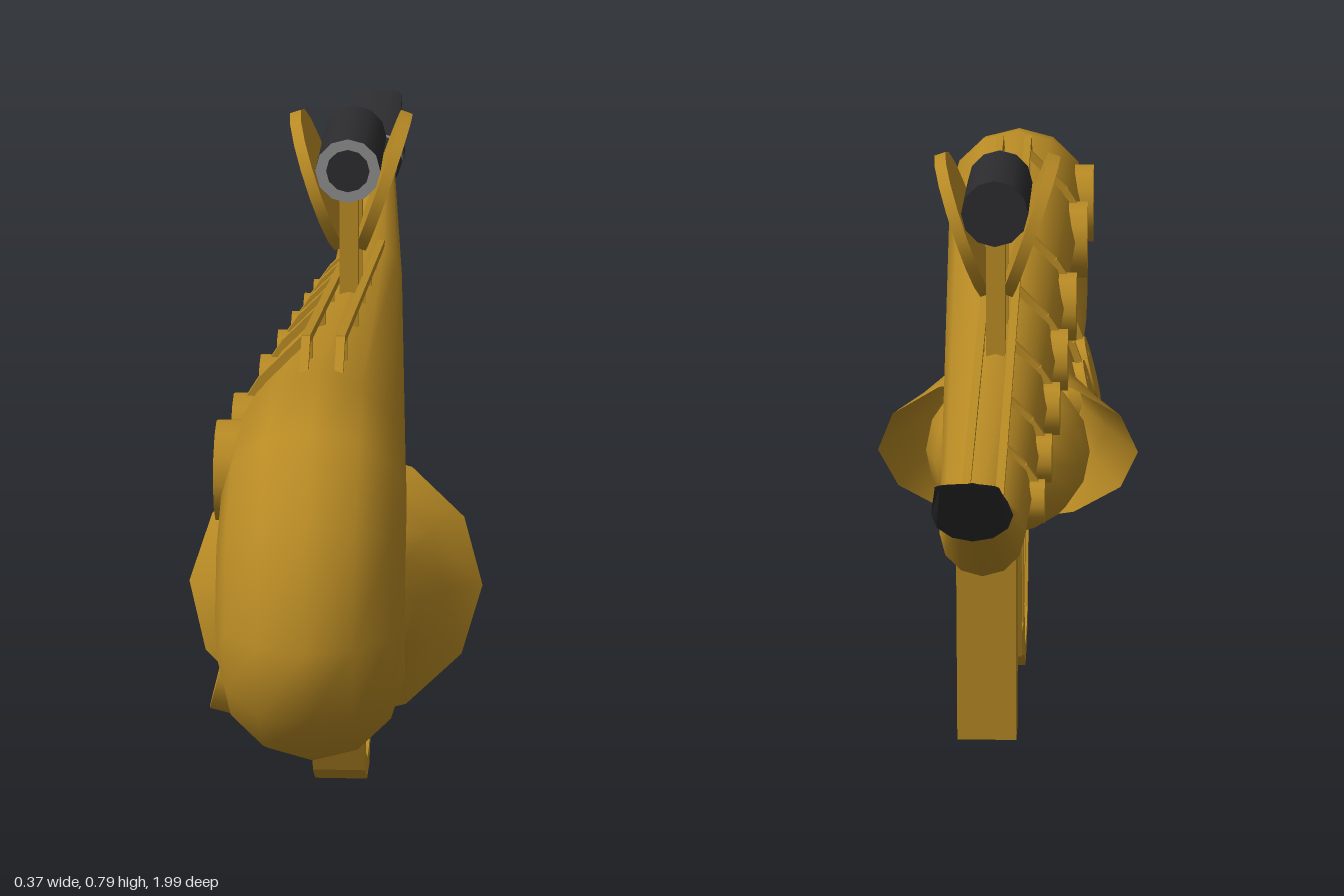
import * as THREE from 'three';
import { toCreasedNormals } from 'three/addons/utils/BufferGeometryUtils.js';

const brass = new THREE.MeshStandardMaterial({ color: 0xb88a24, side: THREE.DoubleSide });
brass.name = 'brass';
const black = new THREE.MeshStandardMaterial({ color: 0x2c2c2e, side: THREE.DoubleSide });
black.name = 'black';
const grey = new THREE.MeshStandardMaterial({ color: 0x8c8c8c, side: THREE.DoubleSide });
grey.name = 'grey';

const V = (x, y, z) => new THREE.Vector3(x, y, z);

export function createModel() {
  const model = new THREE.Group();
  model.name = 'hornBlaster';

  const add = (name, geo, mat = brass, parent = model) => {
    const mesh = new THREE.Mesh(geo, mat);
    mesh.name = name;
    parent.add(mesh);
    return mesh;
  };

  // Tube through rings, each given by its outer and inner edge: [z, y, z, y, half width]
  function loft(sections, sides = 12) {
    const pos = [], index = [];
    sections.forEach(([z0, y0, z1, y1, rx]) => {
      const dz = (z0 - z1) / 2, dy = (y0 - y1) / 2, r = rx ?? Math.hypot(dz, dy);
      for (let j = 0; j < sides; j++) {
        const a = j / sides * Math.PI * 2, c = Math.cos(a);
        pos.push(r * Math.sin(a), (y0 + y1) / 2 + dy * c, (z0 + z1) / 2 + dz * c);
      }
    });
    for (let i = 0; i < sections.length - 1; i++) {
      for (let j = 0; j < sides; j++) {
        const k = (j + 1) % sides, a = i * sides + j, b = i * sides + k;
        index.push(a, a + sides, b, b, a + sides, b + sides);
      }
    }
    const geo = new THREE.BufferGeometry();
    geo.setAttribute('position', new THREE.Float32BufferAttribute(pos, 3));
    geo.setIndex(index);
    geo.computeVertexNormals();
    return geo;
  }

  // Side outline in (z, y), extruded across x
  function slab(outline, hole, width) {
    const toPts = (list) => list.map(([z, y]) => new THREE.Vector2(z, y));
    const shape = new THREE.Shape(toPts(outline));
    if (hole) shape.holes.push(new THREE.Path(toPts(hole)));
    return new THREE.ExtrudeGeometry(shape, { depth: width, bevelEnabled: false })
      .rotateY(-Math.PI / 2).translate(width / 2, 0, 0);
  }

  // Square bar between two points
  function beam(name, p, q, w, h = w, parent = model) {
    const mesh = add(name, new THREE.BoxGeometry(w, h, p.distanceTo(q)), brass, parent);
    mesh.position.copy(p).add(q).multiplyScalar(0.5);
    mesh.lookAt(q);
    return mesh;
  }

  // Neck, body, bow and flared bell in one curved tube
  add('hornBody', loft([
    [-0.835, 0.565, -0.81, 0.51], [-0.57, 0.485, -0.58, 0.385],
    [0.71, 0.665, 0.71, 0.468], [0.85, 0.642, 0.755, 0.46, 0.103],
    [0.95, 0.57, 0.77, 0.45, 0.104], [1, 0.44, 0.777, 0.438, 0.104],
    [0.98, 0.35, 0.77, 0.428, 0.104], [0.91, 0.285, 0.755, 0.42, 0.103],
    [0.84, 0.253, 0.72, 0.413], [0.6, 0.225, 0.6, 0.41],
    [0.5, 0.207, 0.44, 0.41], [0.475, 0.185, 0.32, 0.415], [0.45, 0.145, 0.21, 0.42],
  ]));

  // Rounded plug in the bell mouth
  const plug = add('bellPlug', new THREE.SphereGeometry(0.115, 12, 8));
  plug.position.set(0, 0.283, 0.33);

  // Mouthpiece wedge, grey band and collar
  const creased = (s) => toCreasedNormals(loft(s).toNonIndexed(), 0.6);
  add('mouthpiece', creased([
    [-0.99, 0.612, -0.99, 0.612, 0.001], [-0.993, 0.617, -0.985, 0.607, 0.034],
    [-0.872, 0.578, -0.85, 0.51, 0.045], [-0.861, 0.545, -0.861, 0.545, 0.001],
  ]), black);
  add('mouthpieceBand', creased([
    [-0.872, 0.577, -0.848, 0.511, 0.041], [-0.853, 0.576, -0.829, 0.507, 0.041],
  ]), grey);
  add('mouthpieceCollar', creased([
    [-0.854, 0.578, -0.828, 0.505, 0.041], [-0.825, 0.569, -0.80, 0.499, 0.035],
    [-0.812, 0.534, -0.812, 0.534, 0.001],
  ]), black);

  // Key rods along the top, with posts
  const tubeY = (z) => 0.435 + (z + 0.57) * 0.1025;
  const tubeR = (z) => 0.05 + (z + 0.57) * 0.038;
  const rodY = (z) => 0.482 + (z + 0.57) * 0.165;
  for (const x of [-0.02, 0.02]) {
    beam('upperRod', V(x, rodY(-0.58), -0.58), V(x, rodY(0.6), 0.6), 0.01);
    beam('upperRodEnd', V(x, rodY(0.6), 0.6), V(x, 0.645, 0.65), 0.01);
    for (const z of [0.55, 0.27, 0.05, -0.13, -0.3, -0.44])
      beam('upperRodPost', V(x, tubeY(z) + tubeR(z) - 0.01, z), V(x, rodY(z), z), 0.01);
    beam('lowerRod', V(x, 0.446, 0.71), V(x, 0.424, 0.21), 0.01);
    for (const z of [0.71, 0.57])
      beam('lowerRodPost', V(x, 0.39, z), V(x, 0.443, z), 0.01);
  }

  // Key cups on the right side, each with a bent lever
  function keyCup(z, y, x, r, tilt) {
    const cup = add('keyCup', new THREE.CylinderGeometry(r, r, 0.03, 12).rotateZ(Math.PI / 2));
    cup.position.set(x, y, z);
    cup.rotation.z = tilt;
  }
  for (const [z, r] of [[0.72, 0.058], [0.55, 0.056], [0.26, 0.048], [0.05, 0.042],
    [-0.13, 0.035], [-0.3, 0.031], [-0.44, 0.027]]) {
    const R = tubeR(z), y = tubeY(z) - 0.012;
    keyCup(z, y, -R, r, 0);
    if (z > 0.6) continue;
    const elbow = V(-R * 0.8, y + R * 0.8, z);
    beam('keyLever', V(-0.02, rodY(z), z), elbow, 0.01);
    beam('keyLever', elbow, V(-R - 0.01, y + r * 0.5, z), 0.01);
  }
  for (const z of [0.69, 0.55]) {
    keyCup(z, 0.305, -0.1, 0.052, -0.25);
    beam('keyLever', V(-0.02, 0.44, z), V(-0.085, 0.385, z), 0.01);
    beam('keyLever', V(-0.085, 0.385, z), V(-0.105, 0.33, z), 0.01);
  }

  // Sight: dark tube with a grey front ring, on two posts between tilted discs
  const sight = new THREE.Group();
  sight.name = 'sight';
  model.add(sight);
  const tube = add('sightTube', new THREE.CylinderGeometry(0.042, 0.042, 0.195, 12)
    .rotateX(Math.PI / 2), black, sight);
  tube.position.set(0, 0.732, -0.083);
  const ring = add('sightRing', new THREE.RingGeometry(0.028, 0.042, 12), grey, sight);
  ring.position.set(0, 0.732, 0.0165);
  for (const s of [-1, 1]) {
    const disc = add('sightDisc', new THREE.CylinderGeometry(0.096, 0.096, 0.015, 16)
      .rotateZ(Math.PI / 2), brass, sight);
    disc.position.set(s * 0.042, 0.697, -0.08);
    disc.rotation.z = -s * 0.33;
  }
  for (const z of [-0.025, -0.135]) {
    const post = add('sightPost', new THREE.BoxGeometry(0.024, 0.2, 0.028), brass, sight);
    post.position.set(0, 0.6, z);
  }

  // Trigger loop hanging from the bell
  const loop = add('triggerLoop', slab(
    [[0.4, 0.25], [0.41, 0.18], [0.35, 0.04], [0.3, 0.008], [0.23, 0], [0.185, 0.03],
      [0.16, 0.09], [0.235, 0.28], [0.3, 0.32]],
    [[0.37, 0.24], [0.375, 0.17], [0.327, 0.055], [0.29, 0.033], [0.24, 0.028], [0.205, 0.05],
      [0.188, 0.095], [0.255, 0.26], [0.3, 0.29]], 0.066));
  loop.position.x = 0.005;

  // Open V-shaped grip
  add('frontGrip', slab(
    [[0.06, 0.44], [0.09, 0.09], [0, 0.09], [-0.12, 0.44]],
    [[0.032, 0.43], [0.06, 0.118], [0.008, 0.118], [-0.09, 0.43]], 0.06));

  // Rear grip
  add('rearGrip', slab(
    [[-0.372, 0.42], [-0.4, 0.135], [-0.45, 0.135], [-0.472, 0.42]], null, 0.072));

  return model;
}
